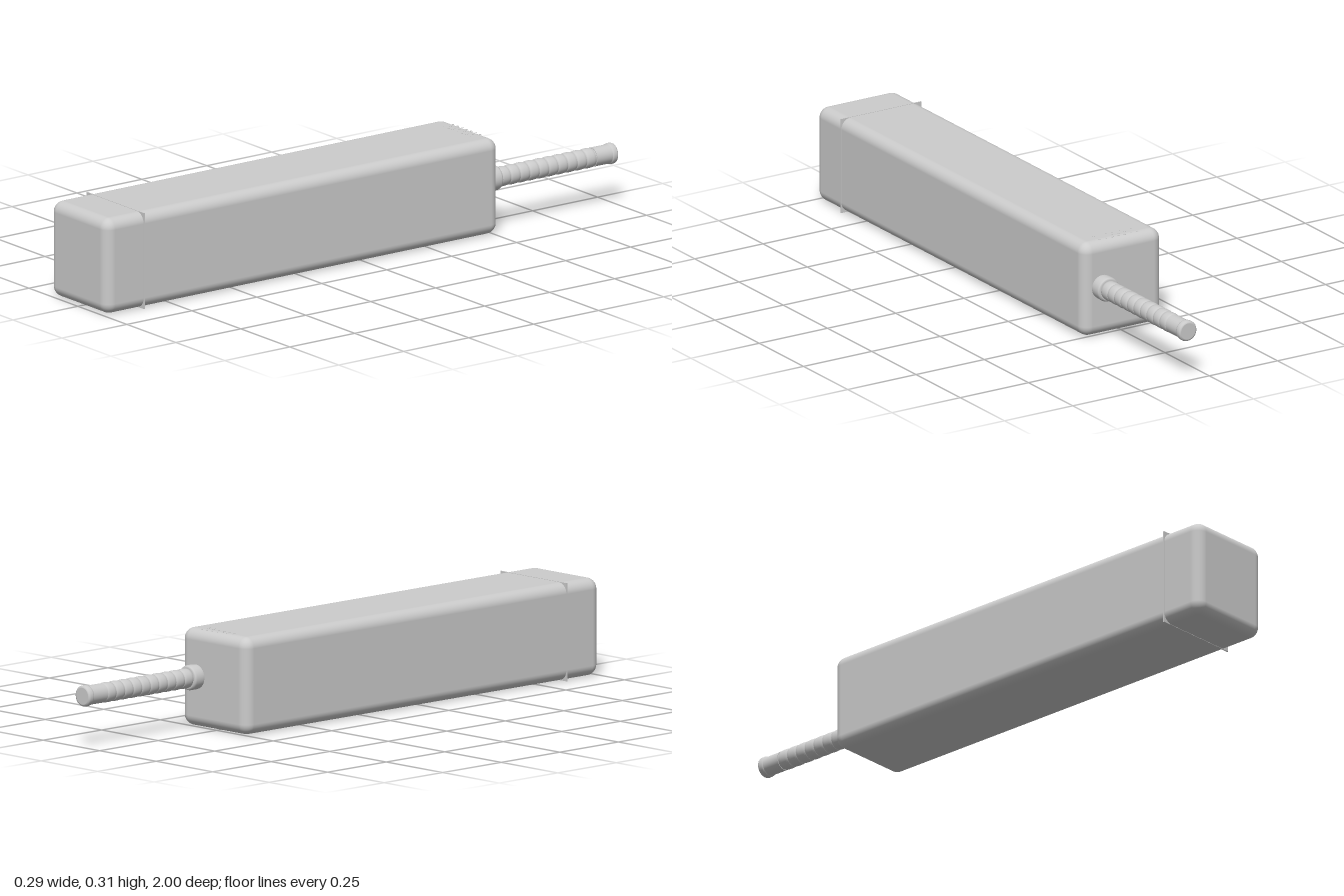
import * as THREE from 'three';
import { RoundedBoxGeometry } from 'three/addons/geometries/RoundedBoxGeometry.js';

const material = new THREE.MeshStandardMaterial({ color: 0xcccccc });

function addMesh(parent, name, geometry, x = 0, y = 0, z = 0) {
  const mesh = new THREE.Mesh(geometry, material);
  mesh.name = name;
  mesh.position.set(x, y, z);
  parent.add(mesh);
  return mesh;
}

// Lathe around the y axis from [radius, height] pairs; doubled points keep creases sharp
function turned(points) {
  const positions = points.map(([r, h]) => new THREE.Vector2(r, h));
  return new THREE.LatheGeometry(positions, 40);
}

export function createModel() {
  const model = new THREE.Group();
  const midY = 0.1535;

  // Long soft-edged housing
  addMesh(model, 'housing', new RoundedBoxGeometry(0.292, 0.305, 1.515, 6, 0.034), 0, midY, 0.2425);

  // Thin square seam plate whose corners stand out of the housing
  addMesh(model, 'seamPlate', new THREE.BoxGeometry(0.294, 0.307, 0.004), 0, midY, 0.855);

  // Staggered perforations on top, near the back
  const vents = new THREE.Group();
  vents.name = 'topVents';
  model.add(vents);
  const dot = new THREE.CylinderGeometry(0.0035, 0.0035, 0.001, 10);
  for (let row = 0; row < 3; row++) {
    const count = row % 2 ? 6 : 7;
    for (let i = 0; i < count; i++) {
      addMesh(vents, 'vent', dot, 0.004 + (i - (count - 1) / 2) * 0.023, 0.3062, -0.475 + (row - 1) * 0.018);
    }
  }

  // Cable strain relief: local +y points backwards from the housing
  const cable = new THREE.Group();
  cable.name = 'strainRelief';
  cable.position.set(0.077, 0.16, -0.515);
  cable.rotation.x = -Math.PI / 2;
  model.add(cable);

  // Collar with a softened rim
  addMesh(cable, 'collar', turned([
    [0.038, 0], [0.039, 0.008], [0.039, 0.03], [0.037, 0.036], [0.032, 0.039], [0, 0.039],
  ]));

  // Sleeve core
  addMesh(cable, 'sleeve', new THREE.CylinderGeometry(0.028, 0.028, 0.45, 40), 0, 0.25, 0);

  // Slightly swollen ribs with narrow grooves between them
  const pitch = 0.0365;
  const rib = turned([
    [0.0275, 0], [0.0298, 0.001], [0.0308, 0.008], [0.0312, 0.017],
    [0.0308, 0.026], [0.0298, 0.0335], [0.0275, 0.0345],
  ]);
  for (let i = 0; i < 10; i++) addMesh(cable, 'rib', rib, 0, 0.038 + i * pitch, 0);

  // Smooth tail and rounded end cap
  addMesh(cable, 'tail', new THREE.CylinderGeometry(0.03, 0.03, 0.065, 40), 0, 0.4365, 0);
  addMesh(cable, 'endCap', turned([
    [0.029, 0.463], [0.032, 0.465], [0.033, 0.469], [0.033, 0.479],
    [0.031, 0.483], [0.027, 0.485], [0.026, 0.485], [0, 0.485],
  ]));

  return model;
}
